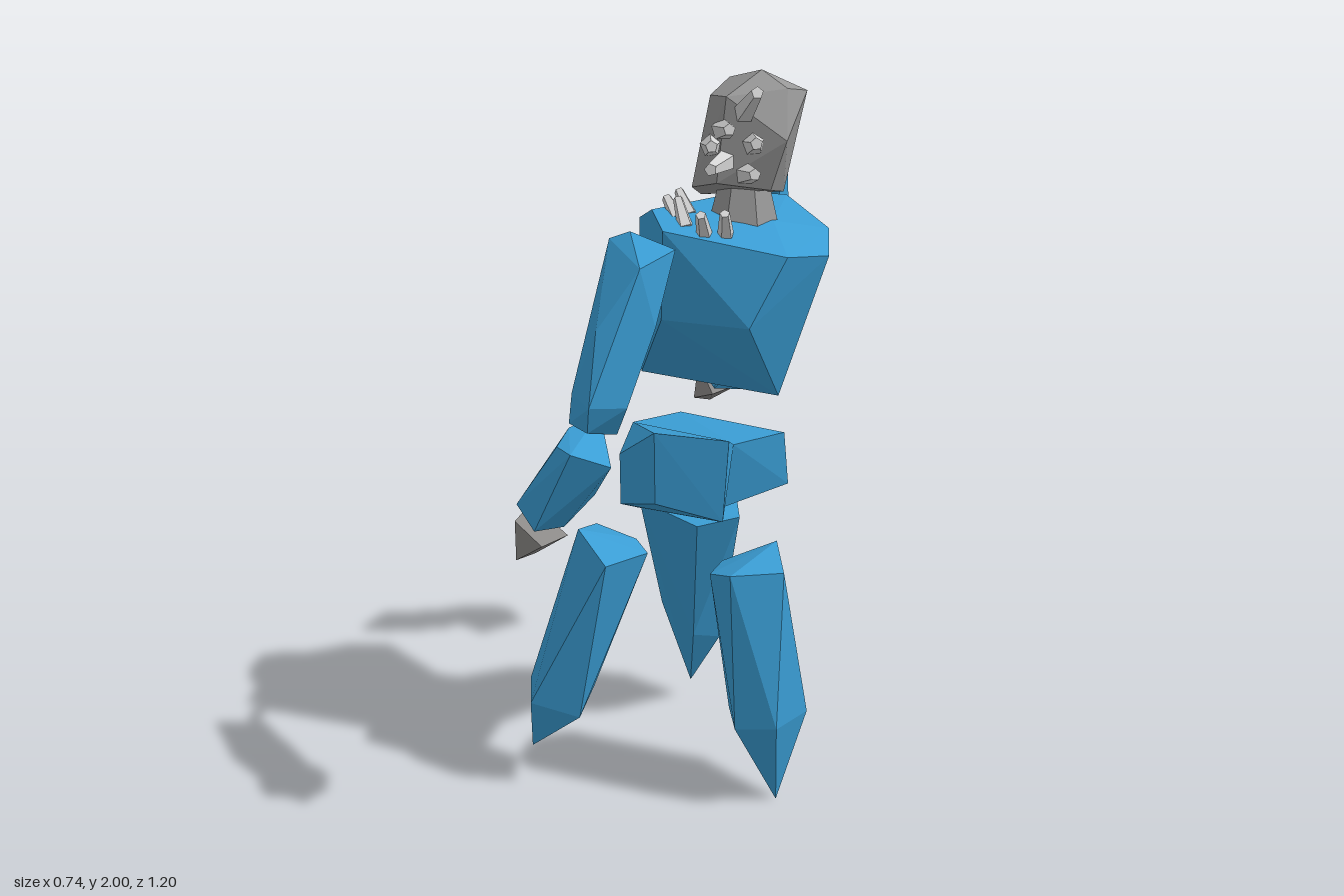
import * as THREE from 'three';
import { ConvexGeometry } from 'three/addons/geometries/ConvexGeometry.js';

const mat = (name, color) => {
  const m = new THREE.MeshStandardMaterial({ color, flatShading: true });
  m.name = name;
  return m;
};

export function createModel() {
  const model = new THREE.Group();
  model.name = 'crystalGolem';
  const blue = mat('blueCrystal', 0x3a9dd4);
  const grey = mat('headStone', 0x979797);
  const dark = mat('handStone', 0x8b8987);
  const pale = mat('paleSpike', 0xd4d4d4);
  const V = (p) => new THREE.Vector3(...p);

  const add = (name, geometry, material, parent = model) => {
    const mesh = new THREE.Mesh(geometry, material);
    mesh.name = name;
    parent.add(mesh);
    return mesh;
  };
  // faceted solid spanned by its corner points
  const crystal = (name, material, points, parent) =>
    add(name, new ConvexGeometry(points.map(V)), material, parent);
  // blunt tapered spike from base to tip
  const spike = (name, base, tip, r0, r1) => {
    const a = V(base), b = V(tip), d = b.clone().sub(a);
    const mesh = add(name, new THREE.CylinderGeometry(r1, r0, d.length(), 5), pale);
    mesh.position.copy(a).add(b).multiplyScalar(0.5);
    mesh.quaternion.setFromUnitVectors(new THREE.Vector3(0, 1, 0), d.normalize());
  };

  // torso: wide shoulders above a low keel
  crystal('torso', blue, [
    [0.12, 1.65, -0.26], [0.315, 1.62, -0.11], [0.37, 1.585, 0], [0.32, 1.6, 0.115],
    [0.06, 1.655, 0.24], [-0.02, 1.68, 0.16], [-0.16, 1.61, 0],
    [0.03, 1.66, -0.2], [0.22, 1.65, 0],
    [0.245, 1.21, 0], [-0.16, 1.2, 0], [0.035, 1.43, 0.21], [0.25, 1.43, 0.165],
    [0.02, 1.38, -0.185], [0.21, 1.29, -0.13]]);

  // pelvis: bent slab made of two halves that meet in the middle
  const pelvis = new THREE.Group();
  pelvis.name = 'pelvis';
  model.add(pelvis);
  const middle = [[0.13, 1.06, 0.02], [-0.19, 1.05, 0], [-0.18, 0.8, 0], [0.08, 0.86, 0]];
  crystal('pelvisFront', blue, [...middle,
    [0.04, 1.155, 0.255], [0.21, 1.145, 0.185], [0.04, 0.965, 0.255], [0.2, 0.93, 0.195],
    [-0.1, 1.05, 0.2], [-0.1, 0.91, 0.2]], pelvis);
  crystal('pelvisBack', blue, [...middle,
    [0.18, 1.04, -0.165], [0.12, 1.015, -0.215], [-0.12, 1.05, -0.13],
    [0.17, 0.87, -0.215], [0.0, 0.87, -0.17]], pelvis);

  // legs: top ring, wider low ring, pointed tip
  crystal('leftLeg', blue, [
    [0.1, 0.72, 0.02], [0.12, 0.73, 0.12], [0.2, 0.76, 0.155], [0.305, 0.755, 0.06],
    [0.22, 0.775, -0.06], [0.125, 0.27, 0.02], [0.2, 0.28, 0.12], [0.31, 0.3, 0.09],
    [0.335, 0.295, -0.04], [0.23, 0.29, -0.095], [0.265, 0, -0.005]]);
  crystal('frontLeg', blue, [
    [-0.22, 0.8, 0.14], [-0.205, 0.83, 0.245], [-0.09, 0.77, 0.29], [-0.045, 0.765, 0.16],
    [-0.1, 0.78, 0.13], [-0.37, 0.34, 0.265], [-0.32, 0.31, 0.335], [-0.2, 0.27, 0.275],
    [-0.33, 0.34, 0.185], [-0.22, 0.31, 0.175], [-0.36, 0.13, 0.285]]);
  crystal('backLeg', blue, [
    [-0.05, 0.88, -0.285], [0.065, 0.775, -0.135], [-0.02, 0.76, -0.05], [-0.19, 0.81, -0.025],
    [-0.2, 0.84, -0.15], [-0.275, 0.35, -0.27], [-0.23, 0.28, -0.365], [-0.09, 0.27, -0.3],
    [-0.11, 0.33, -0.18], [-0.21, 0.065, -0.33]]);

  // front-side arm
  crystal('frontUpperArm', blue, [
    [0, 1.66, 0.37], [0.065, 1.6, 0.29], [0.15, 1.645, 0.33], [0.12, 1.62, 0.43],
    [0.05, 1.68, 0.36], [0.14, 1.48, 0.4], [-0.015, 1.5, 0.38], [0.04, 1.48, 0.49],
    [-0.035, 1.32, 0.485], [0.05, 1.315, 0.54], [0.1, 1.3, 0.46],
    [0, 1.28, 0.415], [0.05, 1.215, 0.43], [-0.035, 1.25, 0.5], [0.03, 1.245, 0.52]]);
  crystal('frontForearm', blue, [
    [-0.035, 1.24, 0.5], [0.03, 1.23, 0.455], [0.1, 1.18, 0.53], [0.035, 1.22, 0.595],
    [0, 1.25, 0.445], [-0.02, 1.22, 0.57], [-0.16, 1.04, 0.5], [-0.14, 1.05, 0.575],
    [-0.085, 1.04, 0.44], [0, 1.06, 0.455], [-0.06, 0.98, 0.5], [-0.08, 1.0, 0.59]]);
  crystal('frontHand', dark, [
    [-0.155, 1.02, 0.5], [-0.14, 1.01, 0.585], [-0.05, 0.96, 0.5], [-0.06, 0.965, 0.59],
    [-0.145, 0.89, 0.505], [-0.15, 0.9, 0.575]]);

  // back-side arm
  crystal('backUpperArm', blue, [
    [-0.04, 1.62, -0.28], [0.065, 1.65, -0.32], [0.045, 1.67, -0.41], [0, 1.685, -0.32],
    [-0.05, 1.63, -0.405], [-0.12, 1.48, -0.39], [0.05, 1.48, -0.42], [-0.03, 1.48, -0.5],
    [-0.15, 1.34, -0.42], [-0.07, 1.33, -0.54], [-0.01, 1.34, -0.49], [-0.13, 1.31, -0.51],
    [-0.06, 1.32, -0.4], [-0.12, 1.25, -0.52], [-0.06, 1.245, -0.51], [-0.1, 1.28, -0.435]]);
  crystal('backForearm', blue, [
    [-0.17, 1.29, -0.5], [-0.12, 1.27, -0.57], [-0.04, 1.24, -0.54], [-0.03, 1.19, -0.475],
    [-0.12, 1.28, -0.445], [-0.28, 1.06, -0.55], [-0.19, 1.04, -0.6], [-0.235, 1.04, -0.45],
    [-0.18, 1.015, -0.415], [-0.14, 0.98, -0.54]]);
  crystal('backHand', dark, [
    [-0.29, 1.045, -0.51], [-0.235, 1.02, -0.58], [-0.175, 0.985, -0.55], [-0.2, 0.985, -0.44],
    [-0.3, 0.935, -0.5], [-0.27, 0.92, -0.545]]);

  // head and flared neck
  crystal('head', grey, [
    [0.19, 2, 0.015], [0.08, 1.97, -0.03], [0.08, 1.94, 0.06], [0.155, 1.95, 0.117],
    [0.25, 1.96, 0], [0.27, 1.95, -0.06], [0.16, 1.96, -0.097], [0.275, 1.85, 0.045],
    [0.02, 1.69, 0], [0.03, 1.72, 0.06], [0.13, 1.75, 0.115], [0.23, 1.73, 0.035],
    [0.22, 1.71, -0.05], [0.15, 1.72, -0.095], [0.06, 1.72, -0.075]]);
  add('neck', new THREE.CylinderGeometry(0.06, 0.088, 0.11, 7), grey).position.set(0.14, 1.685, 0);

  // spikes growing from the face
  [
    [[0.18, 1.91, 0.08], [0.28, 1.98, 0.2]],
    [[0.14, 1.8, 0.09], [0.21, 1.82, 0.28]],
    [[0.2, 1.84, 0.07], [0.28, 1.87, 0.2]],
    [[0.13, 1.87, 0.09], [0.2, 1.89, 0.18]],
    [[0.1, 1.83, 0.09], [0.16, 1.85, 0.19]],
    [[0.18, 1.77, 0.07], [0.25, 1.79, 0.15]],
  ].forEach(([a, b]) => spike('faceSpike', a, b, 0.027, 0.014));

  // small shards on the chest
  [
    [[0.05, 1.66, 0.1], [0.0, 1.71, 0.07]],
    [[0.04, 1.66, 0.14], [-0.01, 1.7, 0.11]],
    [[0.08, 1.65, 0.17], [0.04, 1.71, 0.14]],
    [[0.13, 1.64, 0.17], [0.15, 1.7, 0.22]],
    [[0.17, 1.64, 0.14], [0.19, 1.7, 0.18]],
  ].forEach(([a, b]) => spike('chestShard', a, b, 0.02, 0.012));

  return model;
}
